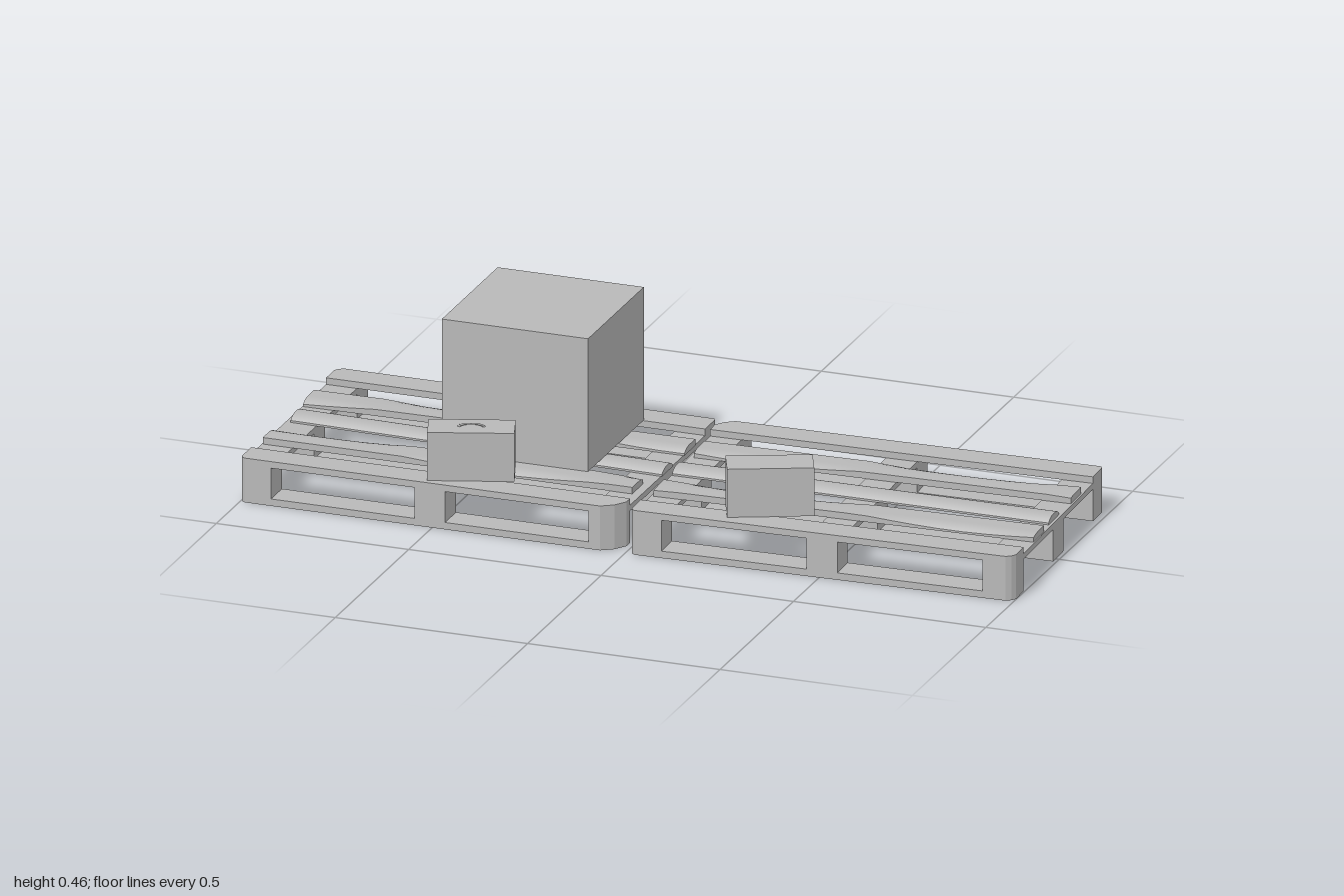
import * as THREE from 'three';

const HALF_X = 0.4925, HALF_Z = 0.33, BOARD = 0.075;
const Y = { runner: 0.018, block: 0.083, stringer: 0.098, top: 0.115 };

export function createModel() {
  const model = new THREE.Group();
  const grey = new THREE.MeshStandardMaterial({ color: 0xb8b8b8 });
  grey.name = 'plain grey';

  const add = (parent, name, geometry) => {
    const mesh = new THREE.Mesh(geometry, grey);
    mesh.name = name;
    parent.add(mesh);
    return mesh;
  };

  // Upright slab whose corners are cut: back left, back right, front right, front left
  const slab = (x0, x1, z0, z1, y0, y1, cuts = [0, 0, 0, 0]) => {
    const corners = [[x0, z0], [x1, z0], [x1, z1], [x0, z1]];
    const points = [];
    corners.forEach(([x, z], i) => {
      const c = cuts[i];
      if (!c) return points.push(new THREE.Vector2(x, z));
      const sx = x === x0 ? c : -c, sz = z === z0 ? c : -c;
      const alongX = new THREE.Vector2(x + sx, z), alongZ = new THREE.Vector2(x, z + sz);
      const middle = new THREE.Vector2(x + sx * 0.4, z + sz * 0.4);
      points.push(...(i % 2 ? [alongX, middle, alongZ] : [alongZ, middle, alongX]));
    });
    const geometry = new THREE.ExtrudeGeometry(new THREE.Shape(points), { depth: y1 - y0, bevelEnabled: false });
    return geometry.rotateX(Math.PI / 2).translate(0, y1, 0);
  };

  // Worn plank: slanted from zLeft to zRight, with sagging long edges
  const plank = (x0, x1, zLeft, zRight, arched, phase) => {
    const geometry = new THREE.BoxGeometry(x1 - x0, Y.top - Y.stringer, BOARD, 16, 1, 8);
    const p = geometry.attributes.position;
    for (let i = 0; i < p.count; i++) {
      const t = p.getX(i) / (x1 - x0) + 0.5;
      const u = p.getZ(i) / (BOARD / 2);
      if (p.getY(i) > 0) {
        const side = arched ? 1 : Math.max(0, Math.sign(u) * Math.sin(t * 6 + phase));
        p.setY(i, p.getY(i) - 0.012 * side * Math.abs(u) ** 3);
      }
      p.setZ(i, p.getZ(i) + zLeft + (zRight - zLeft) * t);
    }
    geometry.computeVertexNormals();
    return geometry.translate((x0 + x1) / 2, (Y.top + Y.stringer) / 2, 0);
  };

  const addPallet = (name, x, z, turn, cuts, planks) => {
    const pallet = new THREE.Group();
    pallet.name = name;
    pallet.position.set(x, 0, z);
    pallet.rotation.y = turn;
    model.add(pallet);

    const columns = [[-HALF_X, -HALF_X + 0.08], [-0.04, 0.04], [HALF_X - 0.08, HALF_X]];
    const rows = [[-HALF_Z, -HALF_Z + BOARD], [-BOARD / 2, BOARD / 2], [HALF_Z - BOARD, HALF_Z]];
    const rowCuts = [[cuts[0], cuts[1], 0, 0], [0, 0, 0, 0], [0, 0, cuts[2], cuts[3]]];

    // Bottom runners, nine blocks and the two outer deck boards
    rows.forEach(([z0, z1], r) => {
      add(pallet, 'bottomRunner', slab(-HALF_X, HALF_X, z0, z1, 0, Y.runner, rowCuts[r]));
      columns.forEach(([x0, x1], c) => {
        const [bl, br, fr, fl] = rowCuts[r];
        const own = c === 0 ? [bl, 0, 0, fl] : c === 2 ? [0, br, fr, 0] : [0, 0, 0, 0];
        add(pallet, 'block', slab(x0, x1, z0, z1, Y.runner, Y.block, own));
      });
      if (r !== 1) add(pallet, 'outerDeckBoard', slab(-HALF_X, HALF_X, z0, z1, Y.stringer, Y.top, rowCuts[r]));
    });

    // Cross stringers
    columns.forEach(([x0, x1], c) => {
      const own = c === 0 ? [cuts[0], 0, 0, cuts[3]] : c === 2 ? [0, cuts[1], cuts[2], 0] : [0, 0, 0, 0];
      add(pallet, 'crossStringer', slab(x0, x1, -HALF_Z, HALF_Z, Y.block, Y.stringer, own));
    });

    // Loose inner deck planks
    planks.forEach((args) => add(pallet, 'innerDeckPlank', plank(...args)));
  };

  addPallet('leftHandPallet', -0.5065, 0.01, 0, [0.018, 0.006, 0.05, 0.012], [
    [-0.49, 0.495, -0.13, -0.145, false, 2],
    [-0.48, 0.495, -0.018, 0.008, true, 0],
    [-0.49, 0.47, 0.145, 0.145, false, 4],
  ]);
  addPallet('rightHandPallet', 0.498, -0.005, 0.028, [0.04, 0.008, 0.02, 0.01], [
    [-0.48, 0.488, -0.139, -0.143, false, 0.5],
    [-0.49, 0.485, -0.0065, 0.012, true, 0],
    [-0.485, 0.49, 0.143, 0.136, false, 3],
  ]);

  // Large crate
  add(model, 'largeBox', new THREE.BoxGeometry(0.38, 0.345, 0.38)).position.set(-0.365, 0.2875, -0.06);

  // Two small cases, turned on the deck
  const cases = [['leftHandCase', -0.433, 0.248, 0.33], ['rightHandCase', 0.331, 0.218, 0.41]];
  cases.forEach(([name, x, z, turn], i) => {
    const group = new THREE.Group();
    group.name = name;
    group.position.set(x, Y.top, z);
    group.rotation.y = turn;
    model.add(group);
    add(group, 'smallBox', new THREE.BoxGeometry(0.212, 0.125, 0.093)).position.y = 0.0625;
    if (i === 0) {
      // Low carrying handle
      const handle = add(group, 'handle', new THREE.TorusGeometry(0.03, 0.005, 8, 16, Math.PI));
      handle.scale.y = 0.25;
      handle.position.y = 0.124;
    }
  });
  return model;
}
